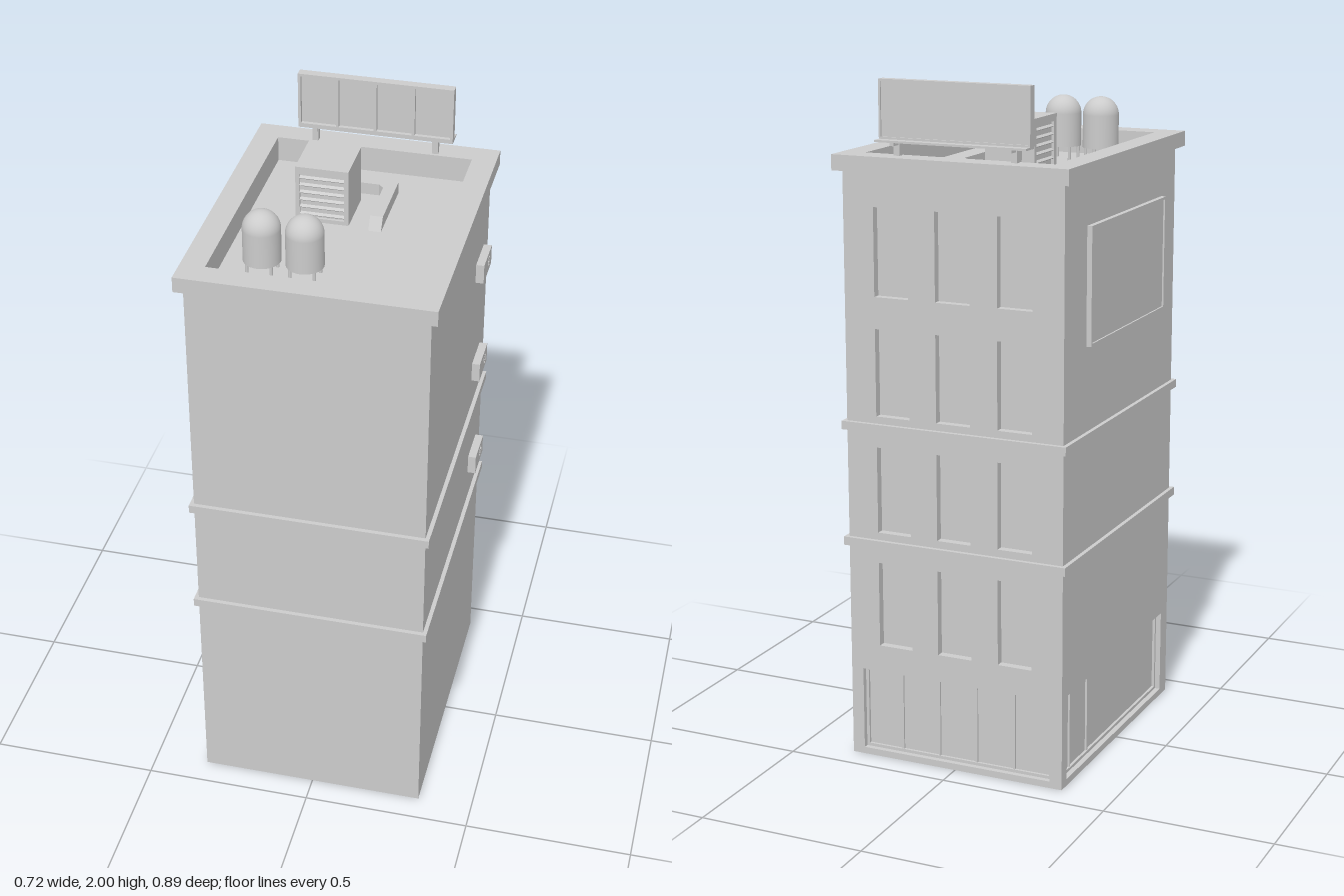
import * as THREE from 'three';

const W = 0.675, D = 0.844, WALL_TOP = 1.75, T = 0.028, ROOF = 1.715;
const mat = new THREE.MeshStandardMaterial({ color: 0xcccccc });

function add(parent, name, geometry, x = 0, y = 0, z = 0) {
  const m = new THREE.Mesh(geometry, mat);
  m.name = name;
  m.position.set(x, y, z);
  parent.add(m);
  return m;
}

// Box given by its limits on each axis
function block(parent, name, x0, x1, y0, y1, z0, z1) {
  return add(parent, name, new THREE.BoxGeometry(x1 - x0, y1 - y0, z1 - z0),
    (x0 + x1) / 2, (y0 + y1) / 2, (z0 + z1) / 2);
}

function rectPoints(x0, x1, y0, y1) {
  return [[x0, y0], [x1, y0], [x1, y1], [x0, y1]].map(p => new THREE.Vector2(...p));
}

function plate(rect, holes, depth) {
  const shape = new THREE.Shape(rectPoints(...rect));
  holes.forEach(h => shape.holes.push(new THREE.Path(rectPoints(...h).reverse())));
  return new THREE.ExtrudeGeometry(shape, { depth, bevelEnabled: false });
}

// Horizontal rectangular ring running around the building
function ring(parent, name, w, d, iw, id, y0, y1) {
  const g = plate([-w / 2, w / 2, -d / 2, d / 2], [[-iw / 2, iw / 2, -id / 2, id / 2]], y1 - y0);
  g.rotateX(-Math.PI / 2);
  return add(parent, name, g, 0, y0, 0);
}

// Wall in its own frame: outer face at local z = dist, openings closed by set-back panes
function wall(parent, name, width, dist, angle, openings = []) {
  const g = new THREE.Group();
  g.name = name;
  g.rotation.y = angle;
  parent.add(g);
  add(g, name + 'Surface', plate([-width / 2, width / 2, 0, WALL_TOP], openings, T), 0, 0, dist - T);
  openings.forEach(([x0, x1, y0, y1]) =>
    block(g, 'pane', x0, x1, y0, y1, dist - T, dist - T + 0.004));
  return g;
}

// Frame and upright bars in front of a shop window
function shopFront(g, dist, [x0, x1, y0, y1], bars) {
  const z = dist - T + 0.002, b = 0.009;
  add(g, 'shopFrame', plate([x0, x1, y0, y1], [[x0 + b, x1 - b, y0 + b, y1 - b]], 0.01), 0, 0, z);
  bars.forEach(x => block(g, 'shopMullion', x - 0.003, x + 0.003, y0, y1, z, z + 0.008));
}

function waterTank(parent, x, z) {
  const g = new THREE.Group();
  g.name = 'waterTank';
  g.position.set(x, ROOF, z);
  parent.add(g);
  const r = 0.053, bottom = 0.04, shoulder = 0.137;
  const pts = [[0, bottom], [r, bottom], [r, bottom], [r, shoulder]].map(p => new THREE.Vector2(...p));
  const body = add(g, 'tankBody', new THREE.CylinderGeometry(r, r, shoulder - bottom, 32), 0, (shoulder + bottom) / 2, 0);
  body.name = 'tankBody';
  add(g, 'tankDome', new THREE.SphereGeometry(r, 32, 12, 0, Math.PI * 2, 0, Math.PI / 2), 0, shoulder, 0);
  for (const sx of [-1, 1]) for (const sz of [-1, 1])
    add(g, 'tankLeg', new THREE.CylinderGeometry(0.005, 0.005, bottom + 0.01, 8), sx * 0.034, bottom / 2, sz * 0.034);
}

// Louvred grille lying on local z = 0
function grille(parent, w, h, x, y, z, angle) {
  const g = new THREE.Group();
  g.name = 'grille';
  g.position.set(x, y, z);
  g.rotation.y = angle;
  parent.add(g);
  add(g, 'grilleFrame', plate([-w / 2, w / 2, -h / 2, h / 2],
    [[-w / 2 + 0.012, w / 2 - 0.012, -h / 2 + 0.012, h / 2 - 0.012]], 0.008));
  const n = 6, step = (h - 0.024) / n;
  for (let i = 0; i < n; i++) {
    const s = add(g, 'louvre', new THREE.BoxGeometry(w - 0.022, 0.003, 0.012),
      0, -h / 2 + 0.012 + (i + 0.5) * step, 0.002);
    s.rotation.x = 0.6;
  }
}

function airConditioner(parent, y) {
  const g = new THREE.Group();
  g.name = 'airConditioner';
  g.position.set(W / 2, y, -0.295);
  parent.add(g);
  block(g, 'unitCase', -0.002, 0.024, -0.03, 0.03, -0.06, 0.06);
  const fan = add(g, 'fanRing', new THREE.TorusGeometry(0.016, 0.002, 6, 20), 0.023, 0, -0.02);
  fan.rotation.y = Math.PI / 2;
  for (let i = 0; i < 3; i++) {
    const blade = add(g, 'fanBlade', new THREE.BoxGeometry(0.002, 0.004, 0.03), 0.0242, 0, -0.02);
    blade.rotation.x = i * Math.PI / 3;
  }
}

export function createModel() {
  const model = new THREE.Group();
  model.name = 'cityBuilding';
  const b = new THREE.Group();
  b.name = 'building';
  b.position.x = -0.002;
  model.add(b);

  // Walls, with windows and shop front at the back and a shop front on the right
  wall(b, 'frontWall', W, D / 2, 0);
  wall(b, 'leftWall', D - 2 * T, W / 2, Math.PI / 2);
  const shopBack = [-0.3, 0.3, 0.02, 0.27], shopSide = [-0.385, 0.37, 0.02, 0.275];
  const windows = [];
  for (let row = 0; row < 4; row++)
    for (const cx of [-0.19, 0, 0.19]) {
      const y = 0.35 + row * 0.347;
      windows.push([cx - 0.053, cx + 0.053, y, y + 0.255]);
    }
  const back = wall(b, 'backWall', W, D / 2, Math.PI, [shopBack, ...windows]);
  shopFront(back, D / 2, shopBack, [-0.18, -0.06, 0.06, 0.18]);
  const side = wall(b, 'rightWall', D - 2 * T, W / 2, -Math.PI / 2, [shopSide]);
  shopFront(side, W / 2, shopSide, [-0.32, -0.19]);

  // Wall sign board
  block(side, 'signPanel', -0.26, 0.305, 1.275, 1.605, W / 2 - 0.002, W / 2 + 0.01);
  add(side, 'signFrame', plate([-0.265, 0.31, 1.27, 1.61], [[-0.257, 0.302, 1.278, 1.602]], 0.016), 0, 0, W / 2 - 0.001);

  // String courses, cornice, parapet and roof
  for (const y of [0.65, 0.998])
    ring(b, 'stringCourse', W + 0.024, D + 0.026, W - 0.01, D - 0.01, y, y + 0.025);
  ring(b, 'cornice', 0.718, 0.892, 0.577, 0.747, 1.745, 1.79);
  ring(b, 'parapet', W - 0.01, D - 0.01, 0.577, 0.747, ROOF - 0.015, 1.746);
  block(b, 'roof', -0.3, 0.3, ROOF - 0.015, ROOF, -0.385, 0.385);

  // Air conditioners on the left wall
  for (const y of [0.805, 1.15, 1.495]) airConditioner(b, y);

  // Rooftop water tanks
  waterTank(b, -0.168, 0.243);
  waterTank(b, -0.048, 0.243);

  // Rooftop ventilation unit and its duct
  block(b, 'ventUnit', -0.142, 0.002, ROOF, 1.885, -0.2, -0.053);
  block(b, 'ventUnitLid', -0.15, 0.002, 1.875, 1.886, -0.2, -0.045);
  grille(b, 0.152, 0.16, -0.074, 1.797, -0.053, 0);
  grille(b, 0.147, 0.16, -0.142, 1.797, -0.126, -Math.PI / 2);
  block(b, 'ductBox', -0.111, -0.036, ROOF, 1.805, -0.268, -0.2);
  const path = [[-0.036, 0.25], [0.09, 0.25], [0.103, 0.237], [0.103, 0.036],
    [0.067, 0.036], [0.067, 0.197], [0.052, 0.212], [-0.036, 0.212]];
  const duct = new THREE.ExtrudeGeometry(
    new THREE.Shape(path.map(p => new THREE.Vector2(...p)).reverse()), { depth: 0.035, bevelEnabled: false });
  duct.rotateX(-Math.PI / 2);
  add(b, 'duct', duct, 0, ROOF + 0.015, 0);
  const mouth = new THREE.ExtrudeGeometry(
    new THREE.Shape([[0, 0], [0.024, 0], [0, 0.035]].map(p => new THREE.Vector2(...p))), { depth: 0.036, bevelEnabled: false });
  mouth.rotateY(-Math.PI / 2);
  add(b, 'ductMouth', mouth, 0.103, ROOF + 0.015, -0.036);
  for (const z of [-0.17, -0.06]) block(b, 'ductFoot', 0.075, 0.095, ROOF, ROOF + 0.016, z - 0.01, z + 0.01);

  // Billboard: plain sheet to the back, ribbed frame to the front, walkway and posts
  const x0 = -0.228, x1 = 0.23;
  block(b, 'billboardSheet', x0, x1, 1.835, 2, -0.4, -0.39);
  const bays = [];
  for (let i = 0; i < 4; i++) {
    const w = (x1 - x0 - 0.008) / 4, a = x0 + 0.008 + i * w;
    bays.push([a, a + w - 0.008, 1.843, 1.992]);
  }
  add(b, 'billboardRibs', plate([x0, x1, 1.835, 2], bays, 0.012), 0, 0, -0.39);
  add(b, 'billboardRim', plate([x0, x1, 1.835, 2], [[x0 + 0.006, x1 - 0.006, 1.841, 1.994]], 0.005), 0, 0, -0.405);
  block(b, 'walkway', x0, x1, 1.829, 1.835, -0.432, -0.38);
  for (const x of [-0.178, 0.178]) {
    block(b, 'billboardPost', x - 0.009, x + 0.009, 1.788, 1.83, -0.4, -0.382);
    block(b, 'billboardBracket', x - 0.006, x + 0.006, 1.82, 1.83, -0.43, -0.38);
  }
  return model;
}
